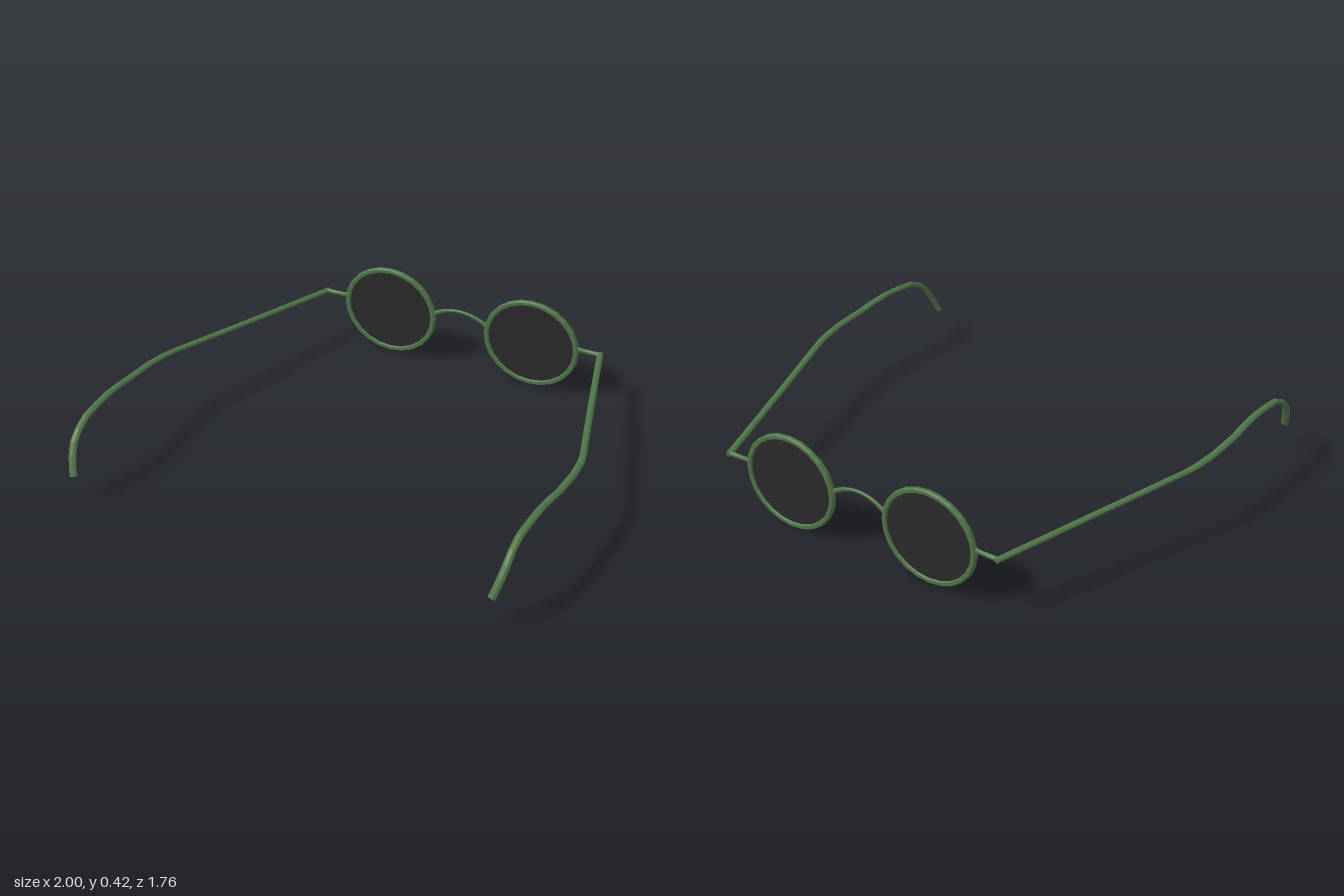
import * as THREE from 'three';

const frameMat = new THREE.MeshStandardMaterial({ color: 0x4f7548, flatShading: true });
const lensMat = new THREE.MeshStandardMaterial({ color: 0x2b2b2b });
const Z = -0.869;

// Sweeps an oval bar along a path; rows are [x, y, z, half width, half thickness].
// The width of the bar follows the axis "across".
function bar(rows, across, sides = 8) {
  const pts = rows.map(r => new THREE.Vector3(r[0], r[1], r[2]));
  const pos = [], idx = [], last = rows.length - 1;
  rows.forEach((r, i) => {
    const t = pts[Math.min(i + 1, last)].clone().sub(pts[Math.max(i - 1, 0)]).normalize();
    const s = across.clone().addScaledVector(t, -across.dot(t)).normalize();
    const n = t.clone().cross(s);
    for (let j = 0; j < sides; j++) {
      const a = (j + 0.5) / sides * Math.PI * 2, k = 1 / Math.cos(Math.PI / sides);
      const p = pts[i].clone()
        .addScaledVector(s, Math.cos(a) * r[3] * k)
        .addScaledVector(n, Math.sin(a) * r[4] * k);
      pos.push(p.x, p.y, p.z);
      if (i < last) {
        const j2 = (j + 1) % sides, o = i * sides, q = o + sides;
        idx.push(o + j, o + j2, q + j2, o + j, q + j2, q + j);
      }
    }
  });
  // End caps
  for (let j = 1; j < sides - 1; j++) {
    const o = last * sides;
    idx.push(0, j + 1, j, o, o + j, o + j + 1);
  }
  const g = new THREE.BufferGeometry();
  g.setAttribute('position', new THREE.Float32BufferAttribute(pos, 3));
  g.setIndex(idx);
  g.computeVertexNormals();
  return g;
}

function add(group, name, geometry, material) {
  const mesh = new THREE.Mesh(geometry, material);
  mesh.name = name;
  group.add(mesh);
  return mesh;
}

export function createModel() {
  const model = new THREE.Group();
  model.name = 'roundGlasses';
  const X = new THREE.Vector3(1, 0, 0), ZA = new THREE.Vector3(0, 0, 1);

  // Closed rim section: radius, depth
  const rimProfile = [
    [0.186, -0.006], [0.19, -0.012], [0.203, -0.012], [0.208, -0.007],
    [0.208, 0.007], [0.203, 0.012], [0.19, 0.012], [0.186, 0.006], [0.186, -0.006],
  ].map(p => new THREE.Vector2(p[0], p[1]));

  for (const s of [1, -1]) {
    const side = s > 0 ? 'left' : 'right';

    // Oval rim and dark lens
    const rim = new THREE.LatheGeometry(rimProfile, 24).rotateX(Math.PI / 2);
    rim.scale(1.1, 1, 1).translate(0.35 * s, 0.208, Z);
    add(model, side + 'Rim', rim, frameMat);
    const lens = new THREE.CylinderGeometry(0.19, 0.19, 0.008, 48).rotateX(Math.PI / 2);
    lens.scale(1.11, 1, 1).translate(0.35 * s, 0.208, Z);
    add(model, side + 'Lens', lens, lensMat);

    // End piece between rim and temple
    add(model, side + 'EndPiece', bar([
      [0.565, 0.231, Z, 0.006, 0.012], [0.6, 0.229, Z, 0.007, 0.01],
      [0.64, 0.229, Z, 0.009, 0.01], [0.685, 0.229, Z, 0.011, 0.01],
    ].map(r => [r[0] * s, ...r.slice(1)]), ZA), frameMat);

    // Temple arm, bowed outward and hooked down behind the ear
    add(model, side + 'Temple', bar([
      [0.676, 0.228, -0.879, 0.014, 0.01], [0.82, 0.257, -0.41, 0.014, 0.01],
      [0.958, 0.286, 0.03, 0.014, 0.01], [0.971, 0.291, 0.09, 0.015, 0.01],
      [0.982, 0.298, 0.19, 0.015, 0.01], [0.983, 0.307, 0.34, 0.015, 0.01],
      [0.979, 0.319, 0.43, 0.015, 0.01], [0.976, 0.326, 0.52, 0.015, 0.01],
      [0.973, 0.322, 0.61, 0.015, 0.01], [0.97, 0.312, 0.7, 0.015, 0.011],
      [0.968, 0.282, 0.764, 0.015, 0.011], [0.966, 0.243, 0.807, 0.016, 0.011],
      [0.957, 0.196, 0.836, 0.016, 0.011], [0.947, 0.157, 0.854, 0.016, 0.011],
      [0.936, 0.122, 0.869, 0.016, 0.011],
    ].map(r => [r[0] * s, ...r.slice(1)]), X), frameMat);
  }

  // Arched nose bridge, thinner in the middle
  const bridge = [];
  for (let i = 0; i <= 12; i++) {
    const u = i / 6 - 1;
    bridge.push([0.13 * u, 0.282 - 0.042 * u * u, Z + 0.005 * (1 - u * u), 0.006, 0.007 + 0.004 * u * u]);
  }
  add(model, 'bridge', bar(bridge, ZA), frameMat);

  return model;
}
